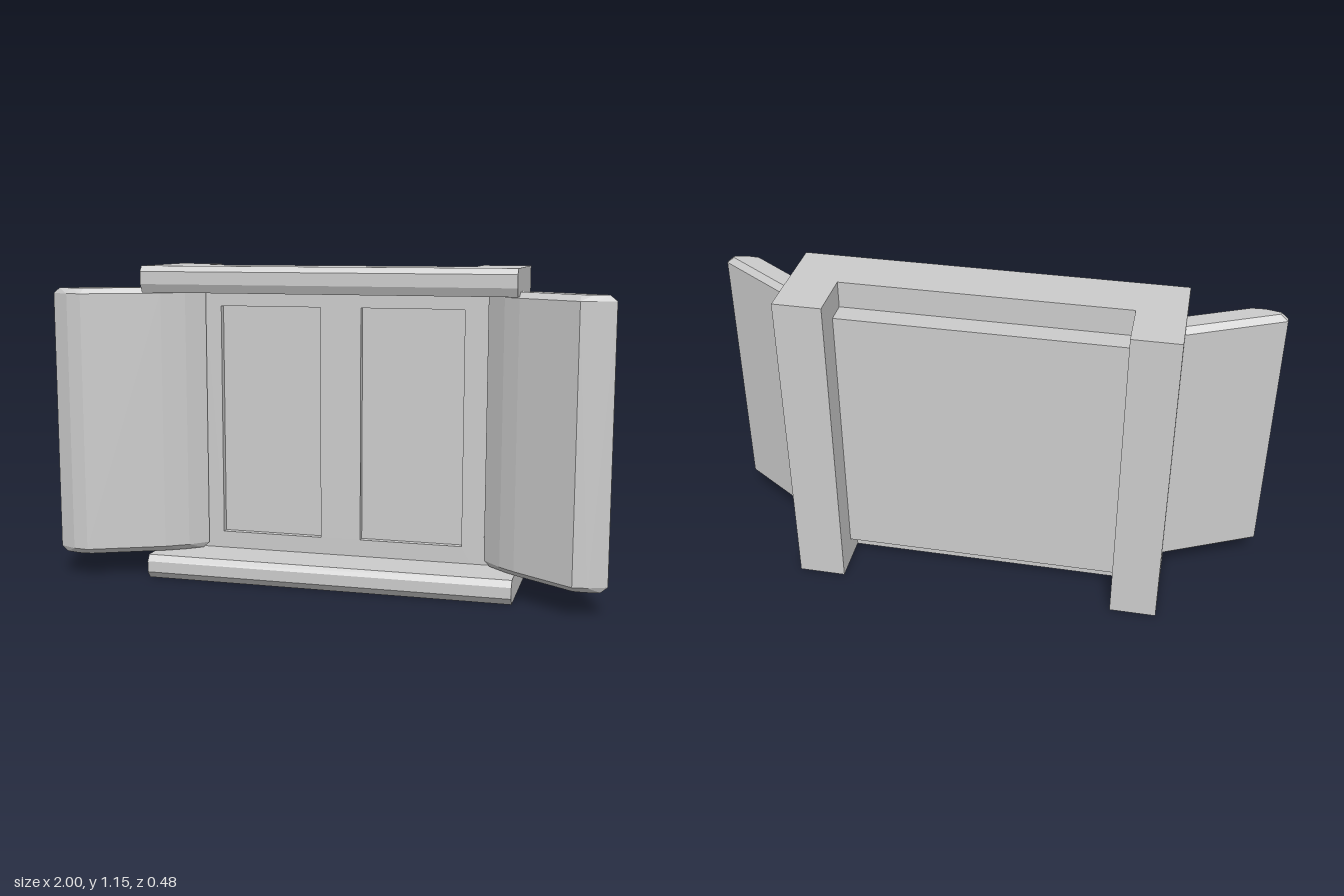
import * as THREE from 'three';
import { ConvexGeometry } from 'three/addons/geometries/ConvexGeometry.js';

const LEFT = 0.675, RIGHT = -0.667;           // outer sides of the frame
const INNER_LEFT = 0.505, INNER_RIGHT = -0.5; // inner sides of the posts
const FACE = -0.05;                           // front plane of the panel

export function createModel() {
  const group = new THREE.Group();
  const material = new THREE.MeshStandardMaterial({ color: 0xcccccc, flatShading: true });

  const add = (name, geometry) => {
    const mesh = new THREE.Mesh(geometry, material);
    mesh.name = name;
    group.add(mesh);
    return mesh;
  };

  // Box given by its limits on each axis
  const block = (name, x0, x1, y0, y1, z0, z1) => {
    const g = new THREE.BoxGeometry(x1 - x0, y1 - y0, z1 - z0);
    g.translate((x0 + x1) / 2, (y0 + y1) / 2, (z0 + z1) / 2);
    return add(name, g);
  };

  // Rail: a (z, y) profile drawn out along x
  const rail = (name, profile) => {
    const shape = new THREE.Shape(profile.map(([z, y]) => new THREE.Vector2(z, y)));
    const g = new THREE.ExtrudeGeometry(shape, { depth: LEFT - RIGHT, bevelEnabled: false });
    g.rotateY(-Math.PI / 2);
    g.translate(LEFT, 0, 0);
    return add(name, g);
  };

  // Door leaf: a convex (x, z) section standing upright, bevelled at top and bottom
  const door = (name, section, angle) => {
    const pts = section.map(([x, z]) => new THREE.Vector2(x, z));
    const centre = pts.reduce((s, p) => s.add(p), new THREE.Vector2()).divideScalar(pts.length);
    const along = new THREE.Vector2(Math.cos(angle), Math.sin(angle));
    const across = new THREE.Vector2(-along.y, along.x);
    const inset = pts.map((p) => {
      const d = p.clone().sub(centre);
      return centre.clone()
        .addScaledVector(along, d.dot(along) * 0.92)
        .addScaledVector(across, d.dot(across) * 0.62);
    });
    const ring = (list, y) => list.map((p) => new THREE.Vector3(p.x, y, p.y));
    return add(name, new ConvexGeometry([
      ...ring(inset, 0.09), ...ring(pts, 0.11), ...ring(pts, 1.05), ...ring(inset, 1.07),
    ]));
  };

  // Posts that project at the back
  block('leftPost', INNER_LEFT, LEFT, 0, 1.15, -0.24, FACE);
  block('rightPost', RIGHT, INNER_RIGHT, 0, 1.15, -0.24, FACE);

  // Top and bottom rails with chamfered noses
  rail('topRail', [[-0.055, 1.055], [0.135, 1.055], [0.15, 1.085], [0.15, 1.13], [0.135, 1.15], [-0.055, 1.15]]);
  rail('bottomRail', [[-0.055, 0], [0.12, 0], [0.14, 0.025], [0.14, 0.065], [0.125, 0.088], [-0.055, 0.088]]);

  // Panel back, then a front sheet with two shallow windows
  block('panelBack', INNER_RIGHT, INNER_LEFT, 0.088, 1.055, -0.135, -0.075);
  const rect = (Type, x0, x1, y0, y1) => new Type([[x0, y0], [x1, y0], [x1, y1], [x0, y1]]
    .map(([x, y]) => new THREE.Vector2(x, y)));
  const sheet = rect(THREE.Shape, INNER_RIGHT, INNER_LEFT, 0.088, 1.055);
  for (const [x0, x1] of [[-0.435, -0.055], [0.095, 0.47]]) {
    sheet.holes.push(rect(THREE.Path, x0, x1, 0.15, 1.0));
  }
  const front = new THREE.ExtrudeGeometry(sheet, { depth: 0.025, bevelEnabled: false });
  front.translate(0, 0, -0.075);
  add('panelFront', front);

  // Doors, swung open by different amounts
  door('rightDoor', [
    [-1, 0.145], [-1, 0.165], [-0.935, 0.195], [-0.88, 0.2], [-0.62, 0.08],
    [-0.545, 0.03], [-0.487, -0.03], [-0.5, -0.04], [-0.665, -0.012],
  ], -0.43);
  door('leftDoor', [
    [1, 0.19], [1, 0.205], [0.935, 0.232], [0.885, 0.238], [0.675, 0.092],
    [0.62, 0.045], [0.555, -0.03], [0.66, -0.02], [0.715, 0], [0.75, 0.02],
  ], 0.6);

  return group;
}
